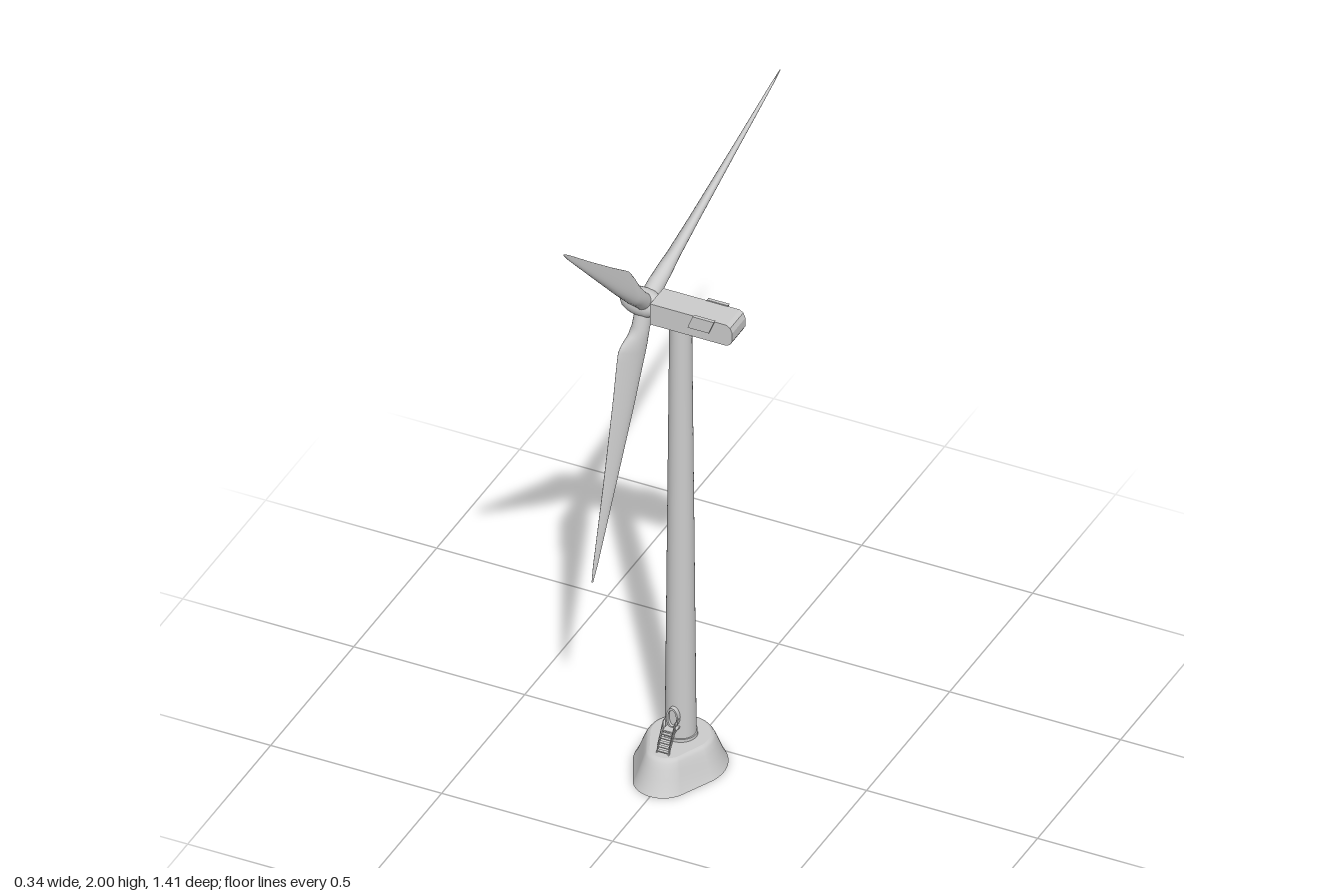
import * as THREE from 'three';

const mat = new THREE.MeshStandardMaterial({ color: 0xcccccc });
const AXIS_Z = 0.09; // tower and nacelle centre line
const V = (x, y, z) => new THREE.Vector3(x, y, z);

function add(parent, name, geometry, x = 0, y = 0, z = 0) {
  const mesh = new THREE.Mesh(geometry, mat);
  mesh.name = name;
  mesh.position.set(x, y, z);
  parent.add(mesh);
  return mesh;
}

// Skin through closed rings of points, with a flat cap at both ends
function loft(rings) {
  const n = rings[0].length, pos = [], idx = [];
  rings.forEach(r => r.forEach(p => pos.push(p.x, p.y, p.z)));
  for (let i = 0; i < rings.length - 1; i++) {
    for (let j = 0; j < n; j++) {
      const a = i * n + j, b = i * n + (j + 1) % n;
      idx.push(a, b, a + n, b, b + n, a + n);
    }
  }
  [rings[0], rings[rings.length - 1]].forEach((r, end) => {
    const start = pos.length / 3, c = V(0, 0, 0);
    r.forEach(p => { pos.push(p.x, p.y, p.z); c.addScaledVector(p, 1 / n); });
    pos.push(c.x, c.y, c.z);
    for (let j = 0; j < n; j++) {
      const a = start + j, b = start + (j + 1) % n;
      if (end) idx.push(a, b, start + n); else idx.push(b, a, start + n);
    }
  });
  const g = new THREE.BufferGeometry();
  g.setAttribute('position', new THREE.Float32BufferAttribute(pos, 3));
  g.setIndex(idx);
  g.computeVertexNormals();
  return g;
}

function rod(parent, name, points, radius) {
  const path = new THREE.CurvePath();
  for (let i = 0; i < points.length - 1; i++) path.add(new THREE.LineCurve3(points[i], points[i + 1]));
  return add(parent, name, new THREE.TubeGeometry(path, 12 * (points.length - 1), radius, 6));
}

// Egg-shaped mound: outline is the hull of a large back and a small front circle
function baseGeometry() {
  const rows = [[0, 1], [0.006, 0.93], [0.018, 0.79], [0.04, 0.58], [0.065, 0.36], [0.08, 0.2], [0.087, 0.08], [0.09, -0.08]];
  const mix = THREE.MathUtils.lerp;
  return loft(rows.map(([y, t]) => {
    const R = mix(0.083, 0.126, t), r = mix(0.05, 0.08, t), zb = mix(0.17, 0.195, t);
    return Array.from({ length: 64 }, (_, i) => {
      const a = i / 64 * Math.PI * 2, c = Math.cos(a), s = Math.sin(a);
      const front = zb * c + r > AXIS_Z * c + R;
      return front ? V(r * s, y, zb + r * c) : V(R * s, y, AXIS_Z + R * c);
    });
  }));
}

// Pitched blade along +x: round root, broad shoulder, thin pointed tip
function bladeGeometry() {
  // distance, narrow side, wide side, half thickness, airfoil blend
  const stations = [
    [0, 0.024, 0.024, 0.024, 0], [0.07, 0.024, 0.025, 0.024, 0], [0.095, 0.025, 0.036, 0.022, 0.4],
    [0.12, 0.027, 0.055, 0.02, 0.8], [0.14, 0.028, 0.062, 0.018, 1], [0.17, 0.028, 0.06, 0.016, 1],
    [0.3, 0.026, 0.047, 0.012, 1], [0.55, 0.016, 0.026, 0.007, 1], [0.78, 0.006, 0.009, 0.003, 1],
    [0.83, 0.002, 0.003, 0.001, 1]];
  const pitch = 0.5, c = Math.cos(pitch), s = Math.sin(pitch);
  return loft(stations.map(([x, lead, trail, thick, blend]) =>
    Array.from({ length: 24 }, (_, i) => {
      const a = i / 24 * Math.PI * 2;
      const w = (trail - lead) / 2 + (trail + lead) / 2 * Math.cos(a);
      const t = thick * Math.sin(a) * (1 - 0.5 * blend * Math.cos(a));
      return V(x, w * c - t * s, w * s + t * c);
    })));
}

function makeRotor() {
  const rotor = new THREE.Group();
  rotor.name = 'rotor';
  const profile = [[0, -0.045], [0.026, -0.045], [0.03, -0.03], [0.037, -0.015], [0.039, 0.005], [0.038, 0.025],
    [0.034, 0.042], [0.026, 0.058], [0.014, 0.068], [0, 0.071]];
  const hub = new THREE.LatheGeometry(profile.map(p => new THREE.Vector2(...p)), 32);
  hub.rotateX(Math.PI / 2);
  add(rotor, 'spinner', hub);
  const blade = bladeGeometry();
  for (let i = 0; i < 3; i++) add(rotor, 'blade', blade).rotation.z = i * Math.PI * 2 / 3;
  // Slightly tilted rotor axis, first blade pointing up and forward
  const axis = V(-1, 0.087, 0.0156).normalize();
  const first = V(0.058, 0.557, 0.61).normalize();
  const side = axis.clone().cross(first).normalize();
  first.crossVectors(side, axis);
  rotor.quaternion.setFromRotationMatrix(new THREE.Matrix4().makeBasis(first, side, axis));
  rotor.position.set(-0.103, 1.443, AXIS_Z);
  return rotor;
}

function extrude(points, depth) {
  const shape = new THREE.Shape(points.map(p => new THREE.Vector2(...p)));
  return new THREE.ExtrudeGeometry(shape, { depth, bevelEnabled: false });
}

function makeNacelle() {
  const nacelle = new THREE.Group();
  nacelle.name = 'nacelle';
  const body = extrude([[-0.07, 1.408], [0.15, 1.408], [0.163, 1.413], [0.17, 1.426], [0.17, 1.452],
    [0.164, 1.467], [0.153, 1.474], [-0.07, 1.474]], 0.08);
  add(nacelle, 'nacelleBody', body, 0, 0, AXIS_Z - 0.04);
  // Slanted side panels
  const panel = extrude([[0.043, 1.438], [0.105, 1.438], [0.12, 1.477], [0.058, 1.477]], 0.01);
  add(nacelle, 'sidePanel', panel, 0, 0, AXIS_Z + 0.038);
  add(nacelle, 'sidePanel', panel, 0, 0, AXIS_Z - 0.048);
  return nacelle;
}

function makeEntrance() {
  const entrance = new THREE.Group();
  entrance.name = 'entrance';
  // Oval door with a raised frame
  const outline = new THREE.Shape().absellipse(0, 0, 0.017, 0.032, 0, Math.PI * 2);
  outline.holes.push(new THREE.Path().absellipse(0, 0, 0.012, 0.026, 0, Math.PI * 2, true));
  const frame = new THREE.ExtrudeGeometry(outline, { depth: 0.03, bevelEnabled: false, curveSegments: 20 });
  add(entrance, 'doorFrame', frame, 0, 0.168, 0.113);
  const leaf = new THREE.CylinderGeometry(1, 1, 0.02, 24).rotateX(Math.PI / 2).scale(0.0125, 0.0265, 1);
  add(entrance, 'door', leaf, 0, 0.168, 0.124);
  // Landing and steps
  add(entrance, 'landing', new THREE.BoxGeometry(0.034, 0.004, 0.036), 0, 0.138, 0.146);
  for (let i = 0; i < 5; i++) {
    add(entrance, 'step', new THREE.BoxGeometry(0.032, 0.003, 0.009), 0, 0.096 + i * 0.009, 0.196 - i * 0.007);
  }
  // Stringers and handrails
  for (const x of [-0.017, 0.017]) {
    rod(entrance, 'stringer', [V(x, 0.088, 0.2), V(x, 0.138, 0.162)], 0.002);
    rod(entrance, 'handrail', [V(x, 0.11, 0.194), V(x, 0.168, 0.16), V(x, 0.168, 0.135)], 0.0015);
    rod(entrance, 'railPost', [V(x, 0.088, 0.194), V(x, 0.11, 0.194)], 0.0015);
    rod(entrance, 'railPost', [V(x, 0.136, 0.161), V(x, 0.168, 0.161)], 0.0015);
  }
  return entrance;
}

export function createModel() {
  const model = new THREE.Group();
  model.name = 'windTurbine';
  add(model, 'base', baseGeometry());
  add(model, 'towerFlange', new THREE.CylinderGeometry(0.046, 0.046, 0.01, 40), 0, 0.094, AXIS_Z);
  add(model, 'tower', new THREE.CylinderGeometry(0.03, 0.042, 1.33, 40), 0, 0.75, AXIS_Z);
  model.add(makeNacelle(), makeRotor(), makeEntrance());
  return model;
}
